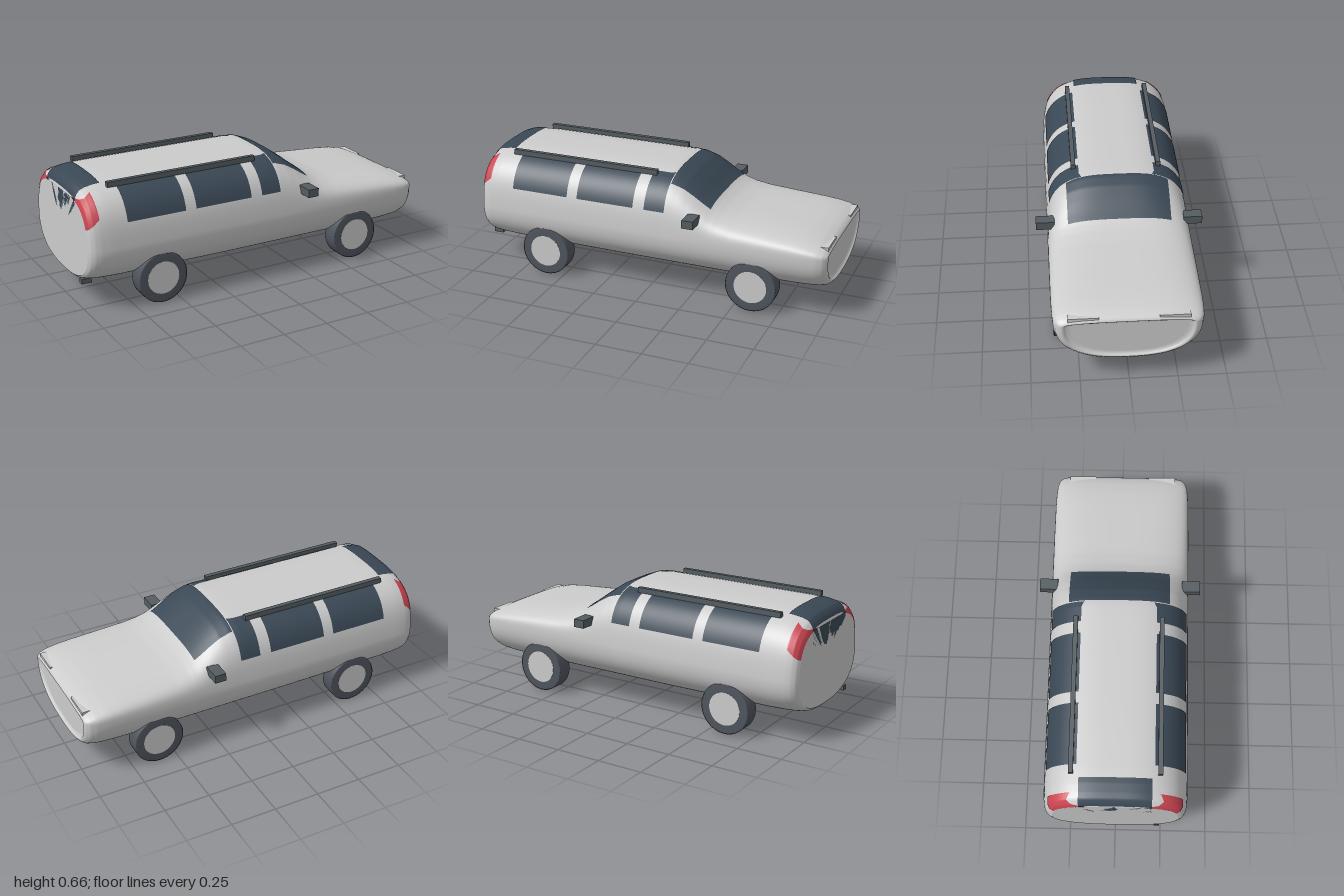
import * as THREE from 'three';

const paint = new THREE.MeshStandardMaterial({ color: 0xcccccc, side: THREE.DoubleSide });
const mat = (color) => new THREE.MeshStandardMaterial({ color, side: THREE.DoubleSide });
const glass = mat(0x3a4855), trim = mat(0x555d62), rubber = mat(0x50555e);
const red = mat(0xc84450), lamp = mat(0xf2f4f4);

// Body stations along the length: x, roof height, floor height, half width
const BELT = 0.355, NU = 3.2, NL = 2.5, TAPER = 0.26;
const stations = [
  [-1, 0.59, 0.145, 0.335], [-0.99, 0.615, 0.135, 0.357], [-0.97, 0.638, 0.13, 0.372],
  [-0.94, 0.649, 0.126, 0.38], [-0.89, 0.657, 0.122, 0.384], [-0.8, 0.661, 0.118, 0.385],
  [-0.2, 0.661, 0.111, 0.386], [0.08, 0.661, 0.111, 0.386], [0.13, 0.655, 0.111, 0.386],
  [0.19, 0.631, 0.111, 0.386], [0.25, 0.589, 0.111, 0.386], [0.3, 0.549, 0.111, 0.386],
  [0.35, 0.514, 0.111, 0.386], [0.4, 0.493, 0.111, 0.386], [0.48, 0.475, 0.111, 0.386],
  [0.65, 0.459, 0.112, 0.386], [0.8, 0.445, 0.114, 0.385], [0.88, 0.434, 0.117, 0.383],
  [0.94, 0.42, 0.122, 0.378], [0.975, 0.406, 0.13, 0.367], [0.993, 0.392, 0.141, 0.35],
  [1, 0.381, 0.152, 0.333],
];

function stationAt(x) {
  let i = 0;
  while (i < stations.length - 2 && x > stations[i + 1][0]) i++;
  const a = stations[i], b = stations[i + 1];
  const t = (x - a[0]) / (b[0] - a[0]);
  return a.map((v, k) => v + (b[k] - v) * t);
}

// Half width of the upper body at a given length and height
function halfWidth(x, y) {
  const [, top, , w] = stationAt(x);
  const t = Math.min(Math.max((y - BELT) / (top - BELT), 0), 1);
  return w * (1 - TAPER * (y - BELT)) * Math.pow(1 - Math.pow(t, NU), 1 / NU);
}

// Height of the upper body at a given length and side offset
function surfaceHeight(x, z) {
  let lo = BELT, hi = stationAt(x)[1];
  for (let i = 0; i < 24; i++) {
    const mid = (lo + hi) / 2;
    if (halfWidth(x, mid) > Math.abs(z)) lo = mid; else hi = mid;
  }
  return lo;
}

// Skin through a list of rounded cross-sections
function loft(rows, n = 96) {
  const pos = [], idx = [];
  rows.forEach(([x, top, bottom, w]) => {
    for (let j = 0; j < n; j++) {
      const a = (j / n) * Math.PI * 2, c = Math.cos(a), s = Math.sin(a);
      const e = 2 / (s >= 0 ? NU : NL);
      const dy = s >= 0 ? (top - BELT) * Math.pow(s, e) : -(BELT - bottom) * Math.pow(-s, e);
      const z = w * (1 - TAPER * Math.max(dy, 0)) * Math.sign(c) * Math.pow(Math.abs(c), e);
      pos.push(x, BELT + dy, z);
    }
  });
  for (let i = 0; i < rows.length - 1; i++) {
    for (let j = 0; j < n; j++) {
      const k = (j + 1) % n, a = i * n + j, b = a + n, c = (i + 1) * n + k, d = i * n + k;
      idx.push(a, b, c, a, c, d);
    }
  }
  return surface(pos, idx);
}

function surface(pos, idx) {
  const g = new THREE.BufferGeometry();
  g.setAttribute('position', new THREE.Float32BufferAttribute(pos, 3));
  g.setIndex(idx);
  g.computeVertexNormals();
  return g;
}

// Panel following the body: point(u, v) returns [x, y, z]
function panel(point, flip, nu = 24, nv = 16) {
  const pos = [], idx = [];
  for (let i = 0; i <= nu; i++) for (let j = 0; j <= nv; j++) pos.push(...point(i / nu, j / nv));
  for (let i = 0; i < nu; i++) {
    for (let j = 0; j < nv; j++) {
      const a = i * (nv + 1) + j, b = a + nv + 1;
      if (flip) idx.push(a, b + 1, b, a, a + 1, b + 1);
      else idx.push(a, b, b + 1, a, b + 1, a + 1);
    }
  }
  return surface(pos, idx);
}

const lerp = THREE.MathUtils.lerp;

// Side panel with its own lower and upper edges at each end
const sidePanel = (side, x0, x1, low, high) => panel((u, v) => {
  const x = lerp(x0, x1, u);
  const y = lerp(lerp(low[0], low[1], u), lerp(high[0], high[1], u), v);
  return [x, y + 0.002, side * (halfWidth(x, y) + 0.003)];
}, side < 0);

// Panel laid over the top of the body
const topPanel = (x0, x1, w) => panel((u, v) => {
  const x = lerp(x0, x1, u), z = lerp(w, -w, v);
  return [x, surfaceHeight(x, z) + 0.004, z];
}, false);

export function createModel() {
  const car = new THREE.Group();
  car.name = 'car';
  const add = (name, geometry, material, x = 0, y = 0, z = 0) => {
    const m = new THREE.Mesh(geometry, material);
    m.name = name;
    m.position.set(x, y, z);
    car.add(m);
    return m;
  };
  const box = (name, material, x0, x1, y0, y1, z0, z1) =>
    add(name, new THREE.BoxGeometry(x1 - x0, y1 - y0, Math.abs(z1 - z0)), material,
      (x0 + x1) / 2, (y0 + y1) / 2, (z0 + z1) / 2);

  // Body shell, rolled into a shallow recessed nose
  const rows = [];
  for (let i = 0; i < stations.length - 1; i++) {
    for (let k = 0; k < 3; k++) {
      rows.push(stations[i].map((v, c) => lerp(v, stations[i + 1][c], k / 3)));
    }
  }
  rows.push(stations[stations.length - 1], [0.995, 0.376, 0.16, 0.322], [0.986, 0.373, 0.164, 0.316],
    [0.985, 0.37, 0.18, 0.29], [0.985, BELT, BELT, 0]);
  add('body', loft(rows), paint);

  // Flat tail
  add('tailPanel', loft([[-1, BELT, BELT, 0], stations[0]]), paint);

  // Windscreen and rear window
  add('windscreen', topPanel(0.115, 0.34, 0.275), glass);
  add('rearWindowTop', topPanel(-0.998, -0.86, 0.19), glass);
  box('rearWindow', glass, -1, -0.985, 0.47, 0.585, -0.19, 0.19);

  for (const side of [1, -1]) {
    const label = side > 0 ? 'Left' : 'Right';

    // Side windows
    [[-0.79, -0.46], [-0.4, -0.07], [-0.005, 0.11]].forEach(([a, b], i) =>
      add(`sideWindow${label}${i + 1}`, sidePanel(side, a, b, [0.48, 0.48], [0.645, 0.645]), glass));

    // Lights
    add(`tailLight${label}`, sidePanel(side, -1, -0.935, [0.46, 0.515], [0.585, 0.625]), red);
    box(`headlight${label}`, lamp, 0.945, 0.991, 0.37, 0.404, side * 0.15, side * 0.305);

    // Roof rail and door mirror
    box(`roofRail${label}`, trim, -0.84, 0.02, 0.635, 0.664, side * 0.219, side * 0.244);
    box(`mirror${label}`, trim, 0.24, 0.303, 0.446, 0.491, side * 0.345, side * 0.445);

    // Wheels: tyre ring with a plain hub showing on both faces
    for (const x of [0.6, -0.6]) {
      const name = (x > 0 ? 'front' : 'rear') + label;
      const profile = [[0.088, -0.044], [0.132, -0.044], [0.139, -0.041], [0.139, 0.041],
        [0.132, 0.044], [0.088, 0.044]].map(([r, h]) => new THREE.Vector2(r, h));
      add(`${name}Tyre`, new THREE.LatheGeometry(profile, 40), rubber, x, 0.139, side * 0.331)
        .rotation.x = Math.PI / 2;
      add(`${name}Hub`, new THREE.CylinderGeometry(0.09, 0.09, 0.09, 40), paint, x, 0.139, side * 0.331)
        .rotation.x = Math.PI / 2;
    }
  }

  // Exhaust tip
  box('exhaust', trim, -1, -0.945, 0.136, 0.162, 0.21, 0.24);
  return car;
}
